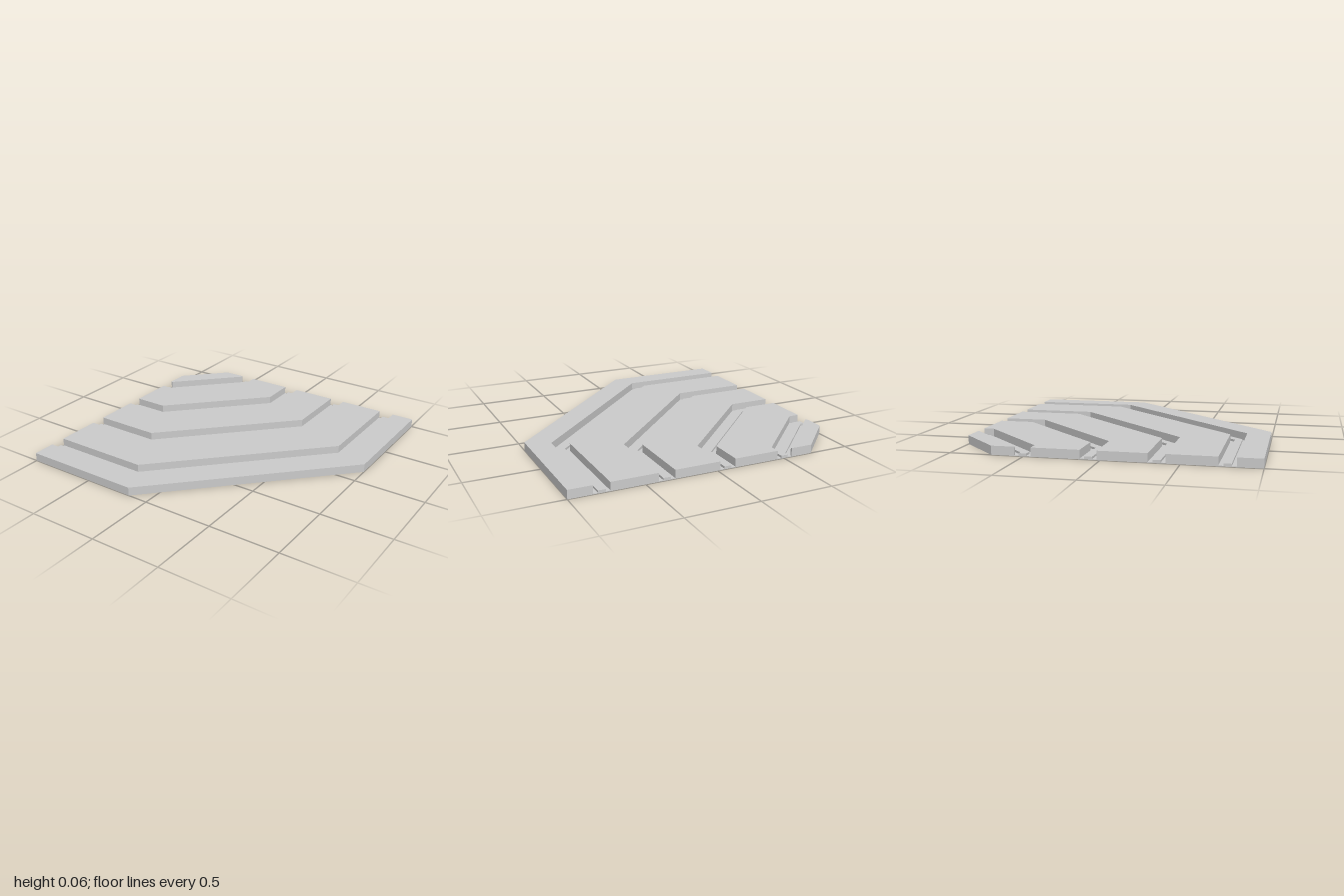
import * as THREE from 'three';

const material = new THREE.MeshStandardMaterial({
  color: 0xcccccc, flatShading: true, side: THREE.DoubleSide,
});

// Bent edge line at offset a: straight, diagonal, straight, as [x, z] points
function edgeLine(a) {
  const c = -0.145 - (1 - a) * 0.54;
  return [[a, -1], [a, c], [c, a], [-1, a]];
}

// Hollow strip between two edge lines: a top at y1 and walls down to y0, open below
function shell(name, outer, inner, y0, y1) {
  const points = [...outer, ...[...inner].reverse()];
  const shape = new THREE.Shape(points.map(([x, z]) => new THREE.Vector2(x, -z)));
  const solid = new THREE.ExtrudeGeometry(shape, { depth: y1 - y0, bevelEnabled: false });
  // The lower cap is the first half of the cap group; leave it out
  const start = (solid.groups[0].count / 2) * 3;
  const geometry = new THREE.BufferGeometry();
  geometry.setAttribute('position',
    new THREE.BufferAttribute(solid.attributes.position.array.slice(start), 3));
  geometry.rotateX(-Math.PI / 2);
  geometry.translate(0, y0, 0);
  geometry.computeVertexNormals();
  const mesh = new THREE.Mesh(geometry, material);
  mesh.name = name;
  return mesh;
}

export function createModel() {
  const group = new THREE.Group();
  group.name = 'groovedPlate';
  const height = 0.06;
  const grooves = [0.84, 0.41, -0.02, -0.45]; // outer edge of each groove
  const width = 0.11, ledge = 0.03;

  // Full-height bands between the grooves
  let outer = 1;
  for (const g of grooves) {
    group.add(shell('band', edgeLine(outer), edgeLine(g), 0, height));
    outer = g - width;
  }

  // Corner piece with its cut-off tip
  group.add(shell('cornerPiece', edgeLine(outer), [[-0.715, -1], [-1, -0.715]], 0, height));

  // Low joints on the groove floors: a raised strip between two ledges
  for (const g of grooves) {
    const lines = [g, g - ledge, g - width + ledge, g - width].map(edgeLine);
    group.add(shell('outerLedge', lines[0], lines[1], 0, 0.005));
    group.add(shell('jointStrip', lines[1], lines[2], 0, 0.02));
    group.add(shell('innerLedge', lines[2], lines[3], 0, 0.005));
  }
  return group;
}
